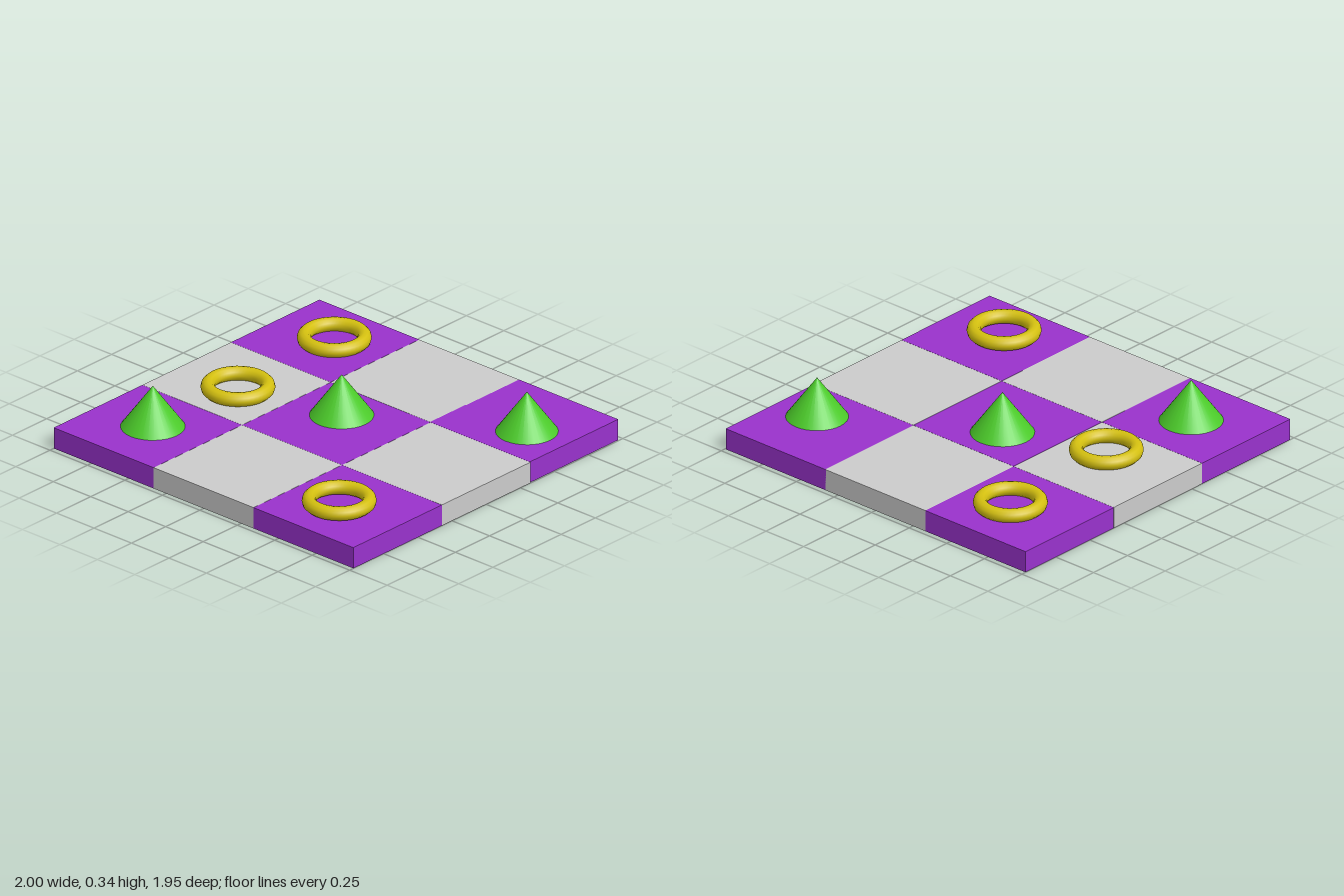
import * as THREE from 'three';

const TILE_W = 0.6667, TILE_D = 0.6487, TILE_H = 0.114;

// Box with no underside, standing on y = 0
function openTileGeometry() {
  const g = new THREE.BoxGeometry(TILE_W - 0.001, TILE_H, TILE_D - 0.001);
  const index = Array.from(g.index.array);
  index.splice(18, 6); // drop the bottom face
  g.setIndex(index);
  g.clearGroups();
  g.translate(0, TILE_H / 2, 0);
  return g;
}

export function createModel() {
  const model = new THREE.Group();
  model.name = 'gameBoard';

  const purple = new THREE.MeshStandardMaterial({ color: 0x9932cc, side: THREE.DoubleSide });
  const grey = new THREE.MeshStandardMaterial({ color: 0xcccccc, side: THREE.DoubleSide });
  const green = new THREE.MeshStandardMaterial({ color: 0x4ccc2a });
  const yellow = new THREE.MeshStandardMaterial({ color: 0xd4c010 });

  function add(parent, name, geometry, material, x, y, z) {
    const mesh = new THREE.Mesh(geometry, material);
    mesh.name = name;
    mesh.position.set(x, y, z);
    parent.add(mesh);
  }

  // Checkered board: 3 x 3 hollow tiles
  const board = new THREE.Group();
  board.name = 'board';
  model.add(board);
  const tile = openTileGeometry();
  for (let row = -1; row <= 1; row++) {
    for (let col = -1; col <= 1; col++) {
      const dark = (row + col) % 2 === 0;
      // the back left corner tile sits very slightly inward
      const shift = col === 1 && row === -1 ? -0.005 : 0;
      add(board, dark ? 'purpleTile' : 'greyTile', tile, dark ? purple : grey,
        col * TILE_W + shift, 0, row * TILE_D);
    }
  }

  // Cone pieces: x, base height, z
  const cone = new THREE.ConeGeometry(0.16, 0.222, 32);
  cone.translate(0, 0.111, 0);
  for (const [x, y, z] of [[-0.647, 0.116, 0.634], [-0.045, 0.116, -0.088], [0.75, 0.108, -0.572]]) {
    add(model, 'conePiece', cone, green, x, y, z);
  }

  // Ring pieces: x, centre height, z
  const ring = new THREE.TorusGeometry(0.149, 0.036, 12, 48);
  ring.rotateX(Math.PI / 2);
  for (const [x, y, z] of [[0.645, 0.154, 0.687], [-0.593, 0.149, 0.07], [-0.62, 0.144, -0.665]]) {
    add(model, 'ringPiece', ring, yellow, x, y, z);
  }

  return model;
}
